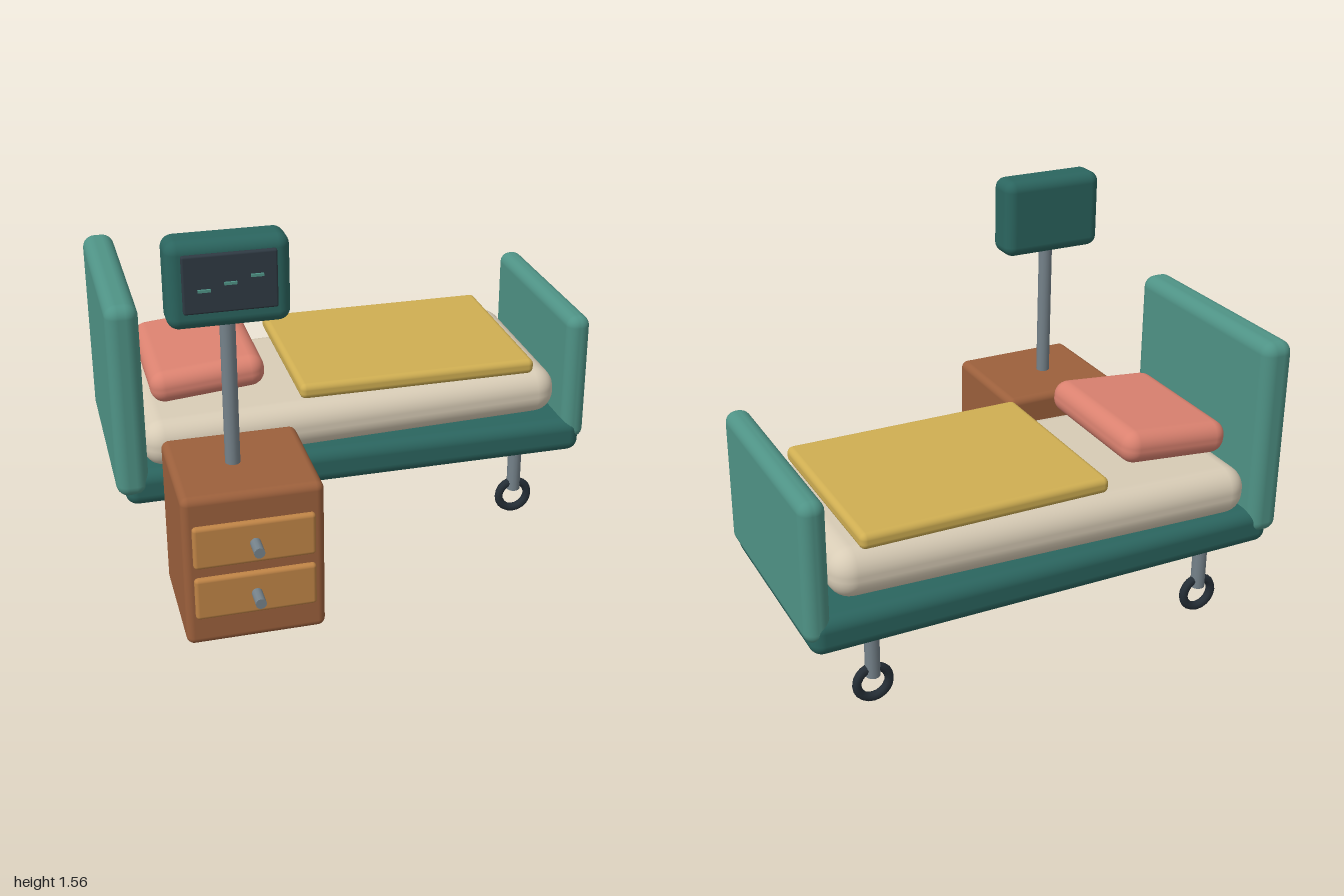
import * as THREE from 'three';
import { RoundedBoxGeometry } from 'three/addons/geometries/RoundedBoxGeometry.js';

const mat = (name, color) => {
  const m = new THREE.MeshStandardMaterial({ color });
  m.name = name;
  return m;
};

export function createModel() {
  const model = new THREE.Group();
  model.name = 'hospitalBed';

  const darkTeal = mat('dark teal', 0x2b655f);
  const teal = mat('teal', 0x4f9386);
  const cream = mat('cream', 0xd8ccb6);
  const mustard = mat('mustard', 0xcfae52);
  const coral = mat('coral', 0xdb8270);
  const wood = mat('wood', 0x9c603c);
  const lightWood = mat('light wood', 0xbf8446);
  const steel = mat('steel', 0x75828a);
  const slate = mat('slate', 0x2f3a43);
  const rubber = mat('rubber', 0x252e36);

  const group = (name, parent = model) => {
    const g = new THREE.Group();
    g.name = name;
    parent.add(g);
    return g;
  };
  const add = (parent, name, geometry, material, x, y, z) => {
    const mesh = new THREE.Mesh(geometry, material);
    mesh.name = name;
    mesh.position.set(x, y, z);
    parent.add(mesh);
    return mesh;
  };
  // Rounded box given by its extents on each axis
  const block = (parent, name, material, [x0, x1], [y0, y1], [z0, z1], radius, segments = 4) =>
    add(parent, name, new RoundedBoxGeometry(x1 - x0, y1 - y0, z1 - z0, segments, radius),
      material, (x0 + x1) / 2, (y0 + y1) / 2, (z0 + z1) / 2);

  // Bed frame and end boards
  const bed = group('bed');
  block(bed, 'bedFrame', darkTeal, [-0.965, 0.98], [0.31, 0.46], [-0.782, 0.098], 0.05);
  block(bed, 'headboard', teal, [-1, -0.87], [0.36, 1.18], [-0.795, 0.11], 0.05);
  block(bed, 'footboard', teal, [0.9, 1], [0.365, 0.93], [-0.777, 0.093], 0.045);

  // Bedding, with the mattress and pillow slightly tilted
  const mattress = block(bed, 'mattress', cream, [-0.88, 0.88], [0.46, 0.66], [-0.755, 0.065], 0.09);
  mattress.rotation.z = 0.027;
  const pillow = block(bed, 'pillow', coral, [-0.826, -0.356], [0.698, 0.832], [-0.66, -0.035], 0.06);
  pillow.rotation.z = 0.09;
  block(bed, 'blanket', mustard, [-0.235, 0.77], [0.68, 0.745], [-0.74, 0.05], 0.025);

  // Legs with ring casters
  const legGeometry = new THREE.CylinderGeometry(0.029, 0.029, 0.22, 12);
  const casterGeometry = new THREE.TorusGeometry(0.065, 0.018, 8, 20);
  for (const x of [-0.71, 0.72]) {
    for (const z of [0, -0.68]) {
      const leg = group('leg', bed);
      add(leg, 'legPost', legGeometry, steel, x, 0.225, z);
      add(leg, 'caster', casterGeometry, rubber, x, 0.085, z);
    }
  }

  // Bedside cabinet with two drawers
  const cabinet = group('bedsideCabinet');
  block(cabinet, 'cabinetBody', wood, [-0.83, -0.297], [0.037, 0.66], [0.2, 0.703], 0.03);
  const knobGeometry = new THREE.CylinderGeometry(0.021, 0.021, 0.09, 12).rotateX(Math.PI / 2);
  for (const y of [0.245, 0.461]) {
    block(cabinet, 'drawer', lightWood, [-0.795, -0.335], [y - 0.087, y + 0.087], [0.665, 0.723], 0.015, 3);
    add(cabinet, 'drawerKnob', knobGeometry, steel, -0.565, y, 0.755);
  }

  // Monitor on a pole
  const monitor = group('monitor');
  add(monitor, 'pole', new THREE.CylinderGeometry(0.029, 0.029, 0.64, 14), steel, -0.592, 0.95, 0.452);
  block(monitor, 'monitorCase', darkTeal, [-0.815, -0.368], [1.235, 1.565], [0.376, 0.529], 0.045);
  block(monitor, 'screen', slate, [-0.762, -0.422], [1.308, 1.525], [0.53, 0.554], 0.008, 2);
  for (let i = 0; i < 3; i++) {
    add(monitor, 'pulseMark', new THREE.BoxGeometry(0.046, 0.01, 0.009), teal,
      -0.687 + i * 0.095, 1.396 + i * 0.021, 0.558);
  }

  return model;
}
